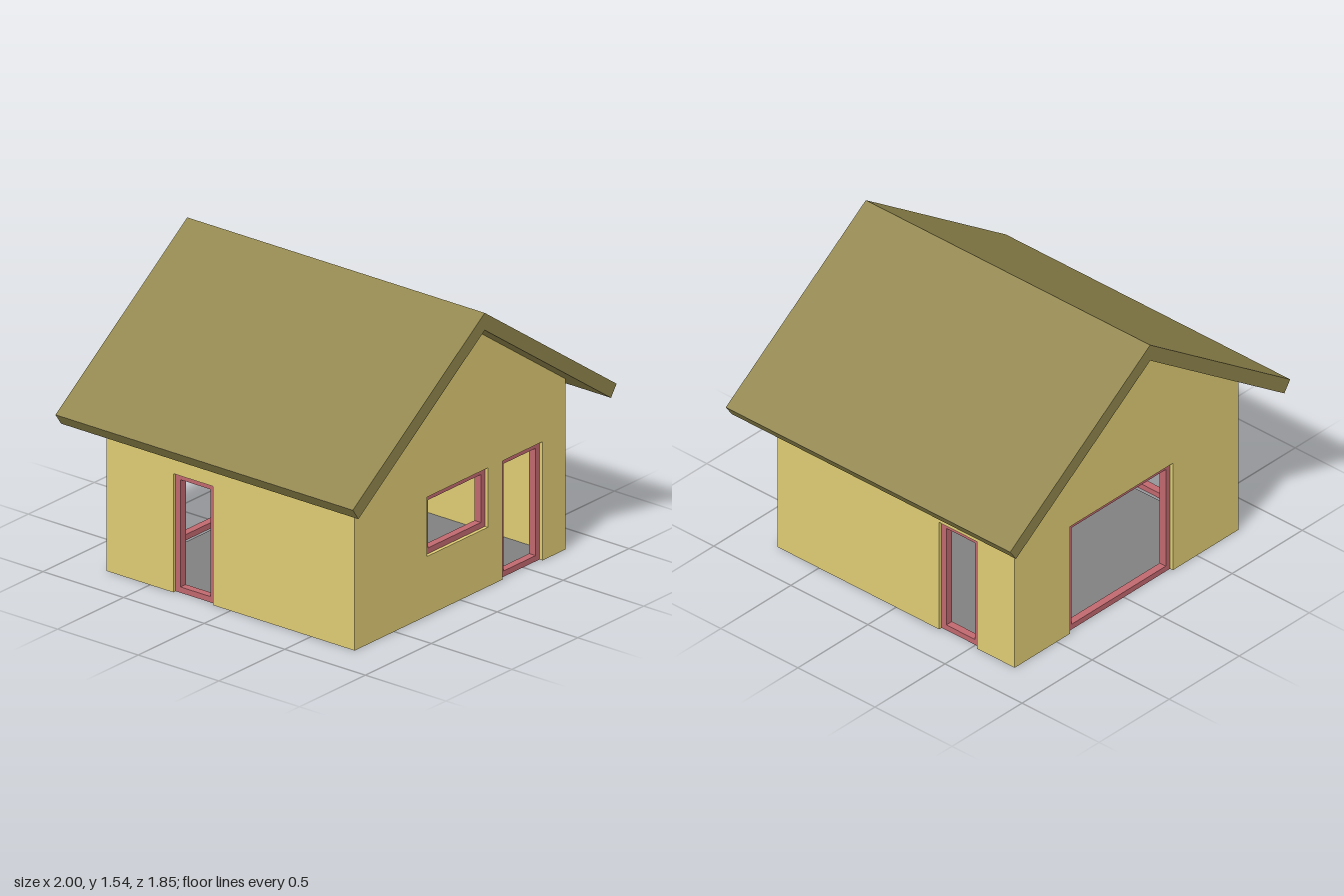
import * as THREE from 'three';

const WALL = 0.077, FRAME_W = 0.03, FRAME_D = 0.04;
const HALF_X = 0.8, HALF_Z = 0.77, RIDGE = 1.45, PITCH = 0.7;

const material = (color) => new THREE.MeshStandardMaterial({ color });
const wallMat = material(0xdfcc74);
const roofMat = material(0x90854c);
const frameMat = material(0xc0686e);
const floorMat = material(0x808080);

const toPath = (points, Type = THREE.Shape) =>
  new Type(points.map(([x, y]) => new THREE.Vector2(x, y)));

const rect = (x0, y0, x1, y1) => [[x0, y0], [x1, y0], [x1, y1], [x0, y1]];

function extrude(name, shape, depth, z, mat) {
  const geometry = new THREE.ExtrudeGeometry(shape, { depth, bevelEnabled: false });
  const mesh = new THREE.Mesh(geometry.translate(0, 0, z), mat);
  mesh.name = name;
  return mesh;
}

// Frame centred in the wall's thickness
function openingFrame({ name, x0, y0, x1, y1 }) {
  const w = FRAME_W;
  const shape = toPath(rect(x0, y0, x1, y1));
  shape.holes.push(toPath(rect(x0 + w, y0 + w, x1 - w, y1 - w), THREE.Path));
  return extrude(name + 'Frame', shape, FRAME_D, -(WALL + FRAME_D) / 2, frameMat);
}

// Wall with its outer face at z = 0, facing +z; doors notch the bottom edge, windows are holes
function wall(name, half, top, openings) {
  const outline = [[-half, 0]];
  const holes = [];
  for (const { x0, y0, x1, y1 } of openings) {
    if (y0 === 0) outline.push([x0, 0], [x0, y1], [x1, y1], [x1, 0]);
    else holes.push(toPath(rect(x0, y0, x1, y1), THREE.Path));
  }
  outline.push([half, 0], ...top);
  const shape = toPath(outline);
  shape.holes = holes;
  const group = new THREE.Group();
  group.name = name;
  group.add(extrude(name + 'Panel', shape, WALL, -WALL, wallMat));
  openings.forEach((o) => group.add(openingFrame(o)));
  return group;
}

export function createModel() {
  const house = new THREE.Group();
  house.name = 'house';

  // Gable walls
  const eave = RIDGE - PITCH * HALF_X;
  const gable = [[HALF_X, eave], [0, RIDGE], [-HALF_X, eave]];
  const front = wall('frontWall', HALF_X, gable, [
    { name: 'frontWindow', x0: -0.25, y0: 0.31, x1: 0.21, y1: 0.62 },
    { name: 'frontDoor', x0: 0.32, y0: 0, x1: 0.625, y1: 0.62 },
  ]);
  front.position.z = HALF_Z;
  const back = wall('backWall', HALF_X, gable, [
    { name: 'backDoor', x0: -0.405, y0: 0, x1: 0.33, y1: 0.62 },
  ]);
  back.position.z = -HALF_Z;
  back.rotation.y = Math.PI;

  // Side walls, running up into the roof slab
  const sideHalf = HALF_Z - WALL;
  const sideTop = RIDGE - PITCH * (HALF_X - WALL);
  const level = [[sideHalf, sideTop], [-sideHalf, sideTop]];
  const left = wall('leftWall', sideHalf, level, [
    { name: 'leftDoor', x0: 0.28, y0: 0, x1: 0.525, y1: 0.62 },
  ]);
  left.position.x = HALF_X;
  left.rotation.y = Math.PI / 2;
  const right = wall('rightWall', sideHalf, level, [
    { name: 'rightDoor', x0: -0.355, y0: 0, x1: -0.11, y1: 0.62 },
  ]);
  right.position.x = -HALF_X;
  right.rotation.y = -Math.PI / 2;

  // Roof: one chevron with square-cut eaves
  const roof = extrude('roof', toPath([
    [0, 1.54], [-1, 0.84], [-0.958, 0.78], [0, RIDGE], [0.958, 0.78], [1, 0.84],
  ]), 1.845, -0.9225, roofMat);

  // Floor between the walls
  const floor = new THREE.Mesh(
    new THREE.BoxGeometry(2 * (HALF_X - WALL), 0.004, 2 * sideHalf), floorMat);
  floor.name = 'floor';
  floor.position.y = 0.002;

  house.add(front, back, left, right, roof, floor);
  return house;
}
